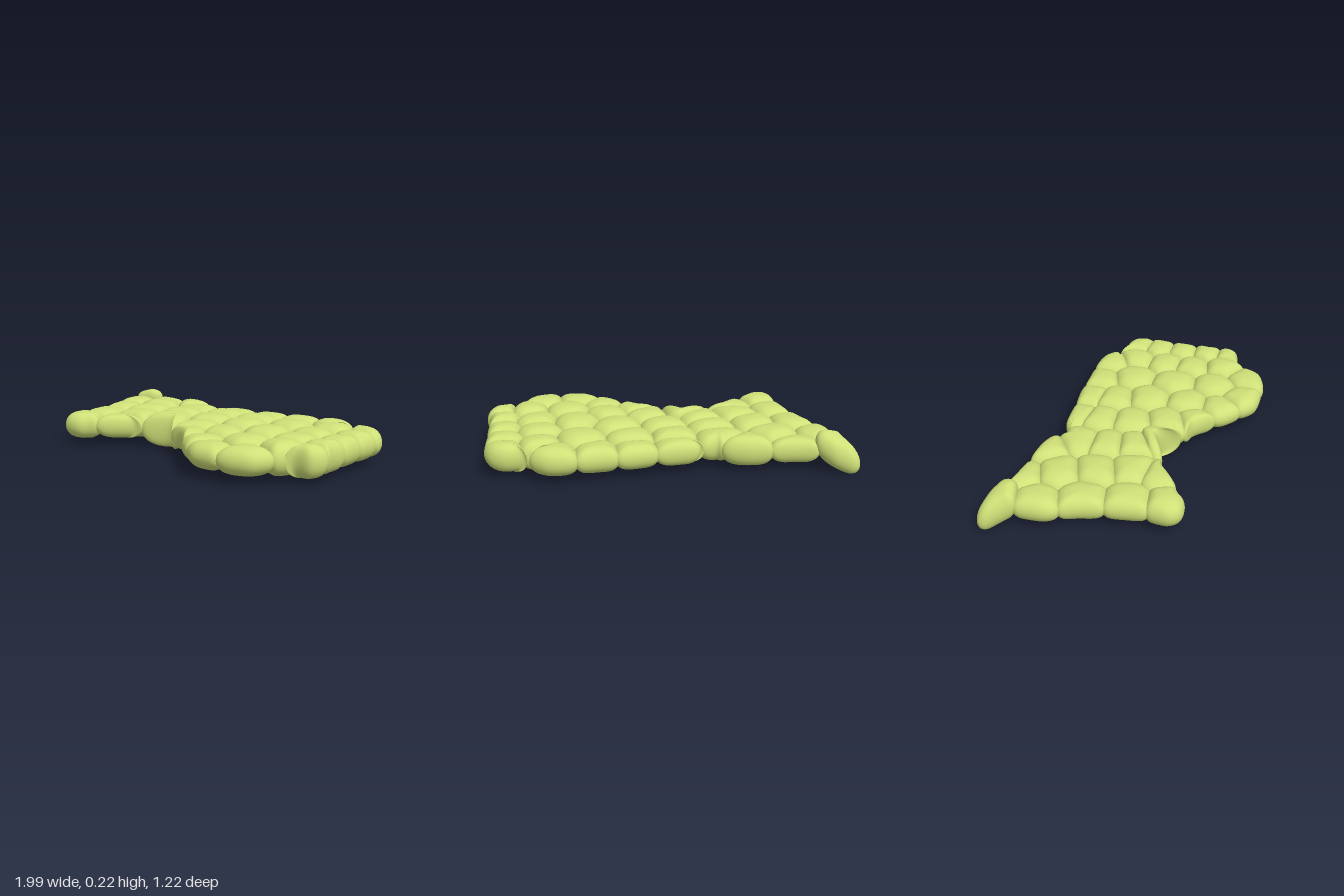
import * as THREE from 'three';

// Outline of the whole patch as x, z in hundredths
const OUTLINE = [
  -101, -58, -97, -62, -85, -59, -77, -53, -56, -50, -40, -49, -30, -46, -25, -42, -27, -38, -17, -41,
  -16, -36, -16, -43, -9, -44, 9, -45, 22, -47, 38, -47, 56, -48, 68, -47, 78, -39, 76, -36,
  66, -32, 78, -35, 89, -36, 97, -32, 100, -25, 98, -2, 98, 8, 96, 21, 99, 31, 94, 39, 83, 38,
  78, 47, 73, 57, 60, 61, 37, 60, 29, 53, 19, 45, 13, 36, 3, 27, -6, 26, -6, 18,
  -13, 11, -33, 21, -36, 18, -40, 23, -53, 33, -60, 35, -63, 40, -74, 41, -79, 35, -78, 24,
  -81, 3, -86, -16, -92, -25, -93, -44,
];
// Every cell: centre x, z and half thickness, in hundredths
const CELLS = [
  -89, -54, 8.5, -67, -48, 7, -40, -45, 8.5, -84, -34, 7.5, -60, -30, 8.5, -28, -29, 8, -76, -12, 7.5,
  -53, -11, 8.5, -27, -13, 8.5, -71, 12, 7.5, -47, 6, 8, -24, 1, 8.5, -68, 32, 8, -48, 24, 7,
  -17, 13, 10, -3, -39, 7, 20, -39, 7, 40, -39, 7.5, 63, -39, 8, -4, -25, 8.5, 20, -24, 8.5,
  47, -20, 8.5, 71, -24, 8.5, 90, -28, 8, -2, -7, 8.5, 25, -4, 9, 47, 7, 9, 71, -4, 8.5,
  89, -13, 8, 89, 2, 8, 5, 13, 8, 27, 20, 8.5, 71, 12, 8.5, 90, 19, 8.5, 90, 33, 8.5,
  11, 28, 7, 50, 31, 8.5, 75, 32, 9, 28, 39, 7, 41, 50, 7, 65, 50, 7.5,
];
const OVERLAP = 0.015;
const SIDES = 40, RINGS = 14;
const TIP_CELL = 0, NOTCH_CELL = 14;

// Keep the part of a polygon where (p - origin) . normal <= 0
function clip(poly, origin, normal) {
  const out = [];
  poly.forEach((a, i) => {
    const b = poly[(i + 1) % poly.length];
    const da = a.clone().sub(origin).dot(normal);
    const db = b.clone().sub(origin).dot(normal);
    if (da <= 0) out.push(a);
    if ((da < 0 && db > 0) || (da > 0 && db < 0)) out.push(a.clone().lerp(b, da / (da - db)));
  });
  return out;
}

// Area of the outline nearest to one centre, grown a little into its neighbours
function cellOutline(outline, centres, index) {
  const c = centres[index];
  return centres.reduce((poly, other, k) => {
    if (k === index) return poly;
    const normal = other.clone().sub(c).normalize();
    const origin = c.clone().lerp(other, 0.5).addScaledVector(normal, OVERLAP);
    return clip(poly, origin, normal);
  }, outline);
}

// Even spacing around the edge, then averaging to round the corners
function roundOutline(poly) {
  const path = new THREE.CurvePath();
  poly.forEach((a, i) => {
    const b = poly[(i + 1) % poly.length];
    if (a.distanceTo(b) > 1e-5) path.add(new THREE.LineCurve(a, b));
  });
  let points = path.getSpacedPoints(SIDES).slice(0, SIDES);
  for (let pass = 0; pass < 4; pass++) {
    points = points.map((p, i) => {
      const before = points[(i + SIDES - 1) % SIDES], after = points[(i + 1) % SIDES];
      return p.clone().multiplyScalar(2).add(before).add(after).multiplyScalar(0.25);
    });
  }
  return points;
}

const average = (points) => points.reduce((s, p) => s.add(p), new THREE.Vector2()).divideScalar(points.length);

// Closed pillow: rings of the outline shrinking towards a top and a bottom pole
function pillow(points, centre, midY, halfHeight, tilt) {
  const pos = [centre.x, midY + halfHeight, centre.y];
  const index = [];
  for (let j = 1; j < RINGS; j++) {
    const t = Math.PI * (0.5 - j / RINGS);
    const r = Math.cos(t) ** 0.68;
    for (const p of points) {
      const q = centre.clone().lerp(p, r);
      const slope = tilt * (q.x - centre.x + q.y - centre.y);
      pos.push(q.x, midY + halfHeight * Math.sin(t) + slope, q.y);
    }
  }
  pos.push(centre.x, midY - halfHeight, centre.y);
  const last = pos.length / 3 - 1;
  const id = (j, i) => (j === 0 ? 0 : j === RINGS ? last : 1 + (j - 1) * SIDES + (i % SIDES));
  for (let j = 0; j < RINGS; j++) {
    for (let i = 0; i < SIDES; i++) {
      const a = id(j, i), b = id(j, i + 1), c = id(j + 1, i), d = id(j + 1, i + 1);
      if (j > 0) index.push(a, b, c);
      if (j < RINGS - 1) index.push(b, d, c);
    }
  }
  const geometry = new THREE.BufferGeometry();
  geometry.setAttribute('position', new THREE.Float32BufferAttribute(pos, 3));
  geometry.setIndex(index);
  geometry.computeVertexNormals();
  return geometry;
}

export function createModel() {
  const model = new THREE.Group();
  model.name = 'cellPatch';
  const material = new THREE.MeshStandardMaterial({ color: 0xcfe078 });
  const outline = [], centres = [], halves = [];
  for (let i = 0; i < OUTLINE.length; i += 2) outline.push(new THREE.Vector2(OUTLINE[i] / 100, OUTLINE[i + 1] / 100));
  for (let i = 0; i < CELLS.length; i += 3) {
    centres.push(new THREE.Vector2(CELLS[i] / 100, CELLS[i + 1] / 100));
    halves.push(CELLS[i + 2] / 100);
  }

  // One pillow-shaped cell for each centre
  centres.forEach((c, i) => {
    const points = roundOutline(cellOutline(outline, centres, i));
    // the elbow-shaped cell at the front notch peaks inside its bend and hangs lowest
    const pole = i === NOTCH_CELL ? new THREE.Vector2(-0.15, 0.075) : average(points);
    const midY = i === NOTCH_CELL ? 0.1 : 0.11;
    // the back corner cell droops towards its tip
    const tilt = i === TIP_CELL ? 0.35 : 0;
    const cell = new THREE.Mesh(pillow(points, pole, midY, halves[i], tilt), material);
    cell.name = `cell${i + 1}`;
    model.add(cell);
  });
  return model;
}
